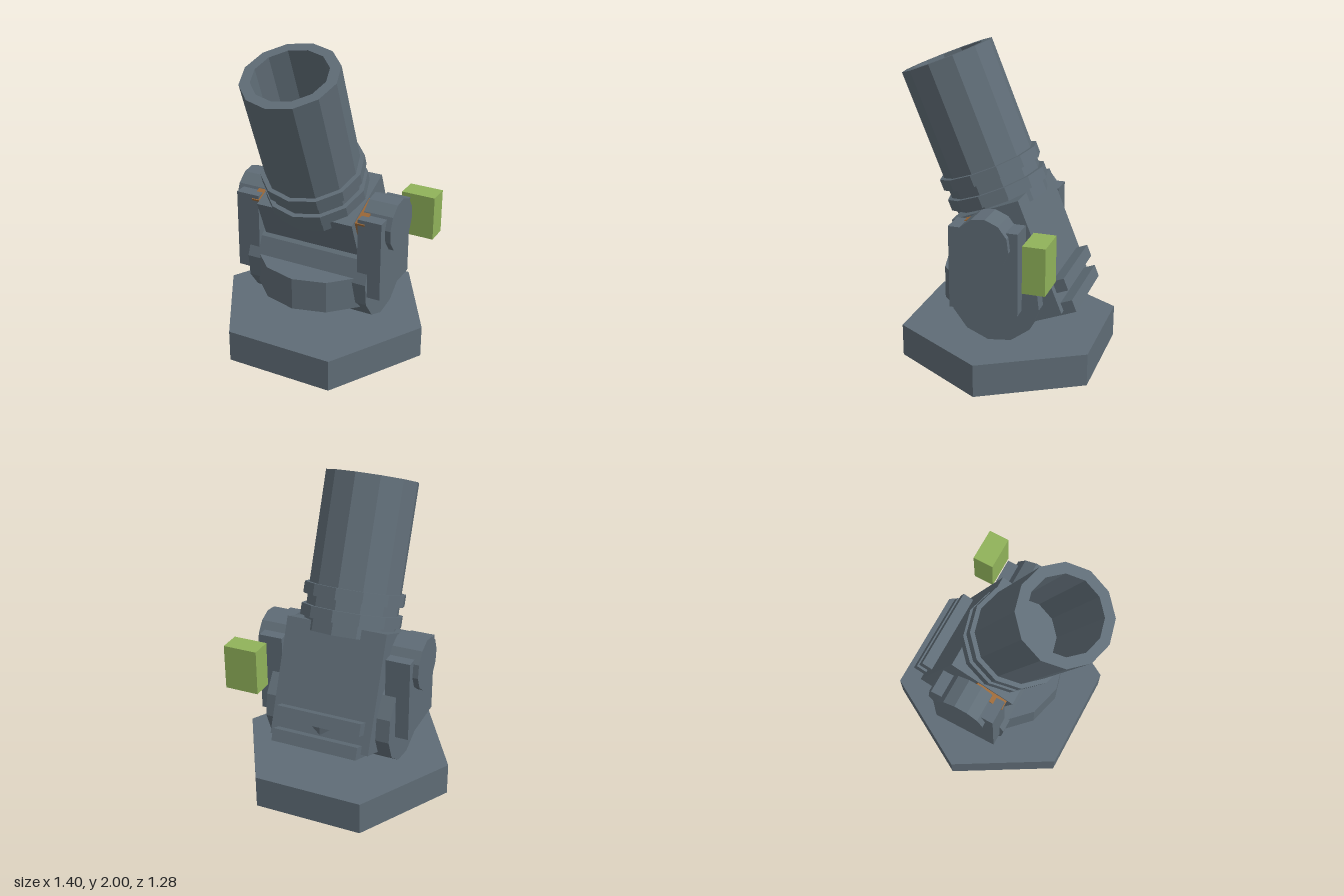
import * as THREE from 'three';

const paint = (color) => new THREE.MeshStandardMaterial({ color, flatShading: true });

export function createModel() {
  const model = new THREE.Group();
  model.name = 'mortarTurret';
  const slate = paint(0x5f6c76), green = paint(0x90b25a), brown = paint(0x9a6838);

  const add = (parent, name, geometry, material, x, y, z) => {
    const mesh = new THREE.Mesh(geometry, material);
    mesh.name = name;
    mesh.position.set(x, y, z);
    parent.add(mesh);
    return mesh;
  };
  const box = (w, h, d) => new THREE.BoxGeometry(w, h, d);
  const drum = (r, h, sides = 12) => new THREE.CylinderGeometry(r, r, h, sides);
  const axle = (r, w) => drum(r, w).rotateZ(Math.PI / 2);

  // Hexagonal base with points to the left and right
  add(model, 'base', drum(0.7, 0.21, 6).rotateY(Math.PI / 6), slate, 0, 0.105, -0.035);

  // Turntable, side brackets and sight box stay upright
  add(model, 'turntable', drum(0.415, 0.21), slate, 0, 0.485, -0.03);
  for (const s of [1, -1]) {
    add(model, 'sideBracket', box(0.155, 0.52, 0.43), slate, s * 0.4225, 0.73, -0.03);
  }
  add(model, 'sightBox', box(0.22, 0.29, 0.138), green, 0.525, 0.835, -0.384);

  // Everything that leans forward with the barrel; origin at the barrel's foot
  const tilt = new THREE.Group();
  tilt.name = 'elevatingAssembly';
  tilt.position.set(0, 0.985, 0.005);
  tilt.rotation.x = THREE.MathUtils.degToRad(22);
  model.add(tilt);

  // Barrel with a blind bore
  const profile = [[0, 0], [0.293, 0], [0.293, 0.98], [0.228, 0.98], [0.228, 0.27], [0, 0.27]]
    .map(([r, y]) => new THREE.Vector2(r, y));
  add(tilt, 'barrel', new THREE.LatheGeometry(profile, 12), slate, 0, 0, 0);
  for (const y of [0.115, 0.25]) {
    add(tilt, 'barrelRing', drum(0.322, 0.072), slate, 0, y, 0);
  }

  // Cradle block, roller and cross bar
  add(tilt, 'cradle', box(0.655, 0.742, 0.452), slate, 0, -0.31, -0.008);
  add(tilt, 'roller', axle(0.285, 0.83), slate, 0, -0.454, 0.103);
  add(tilt, 'crossBar', box(0.78, 0.215, 0.215), brown, 0, -0.057, 0.072);

  // Trunnions on both sides
  for (const s of [1, -1]) {
    add(tilt, 'trunnion', axle(0.167, 0.19), slate, s * 0.44, -0.09, -0.006);
  }

  // Rails across the back of the cradle
  for (const y of [-0.523, -0.667]) {
    add(tilt, 'backRail', box(0.56, 0.078, 0.31), slate, 0, y, -0.155);
  }

  return model;
}
